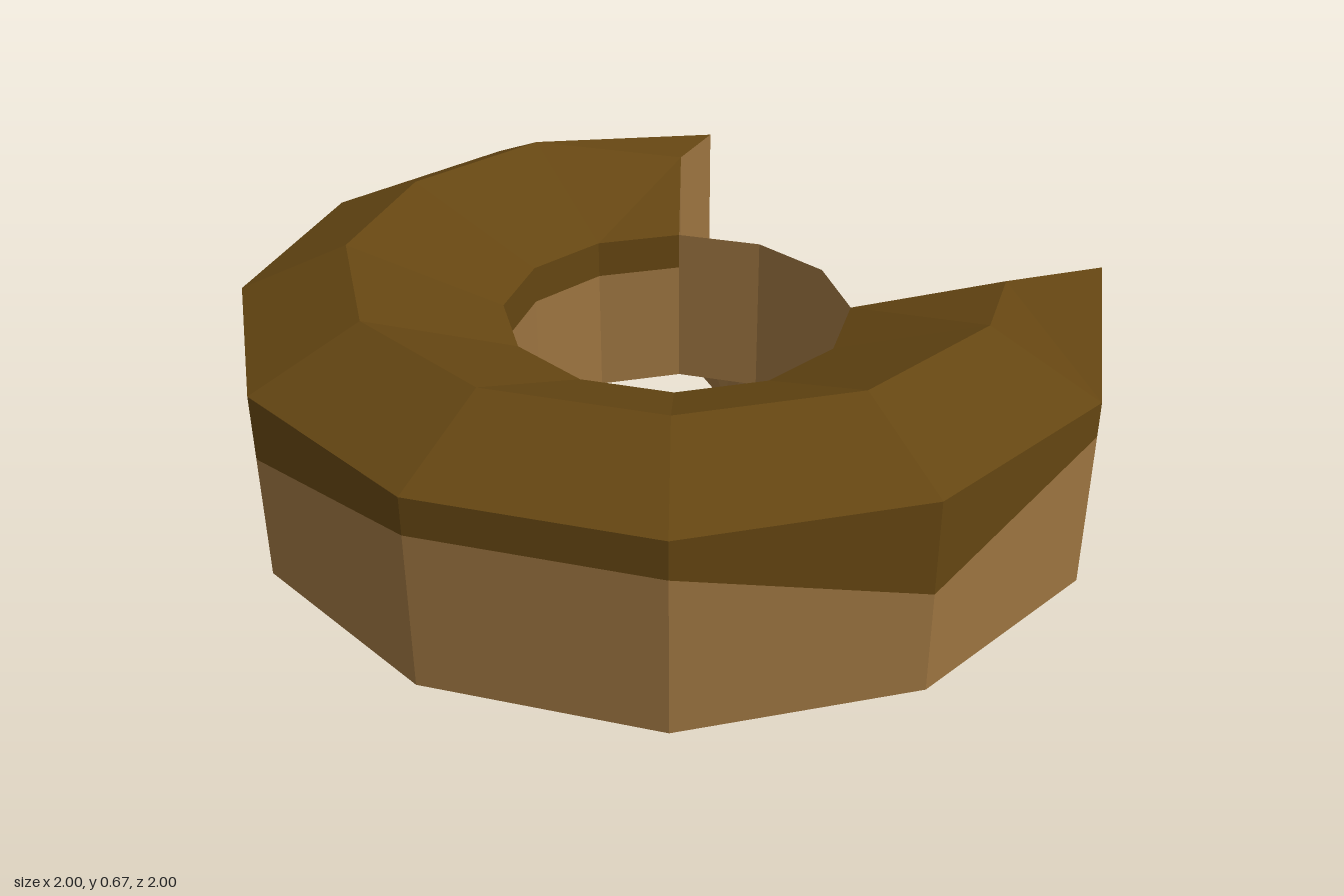
import * as THREE from 'three';

// Collects flat faces, split from quads, into one mesh
class Faces {
  constructor() { this.points = []; }
  tri(a, b, c) { this.points.push(...a, ...b, ...c); }
  quad(a, b, c, d) { this.tri(a, b, d); this.tri(b, c, d); }
  mesh(name, material) {
    const geometry = new THREE.BufferGeometry();
    geometry.setAttribute('position', new THREE.Float32BufferAttribute(this.points, 3));
    geometry.computeVertexNormals();
    const mesh = new THREE.Mesh(geometry, material);
    mesh.name = name;
    return mesh;
  }
}

export function createModel() {
  const dough = new THREE.MeshStandardMaterial({ color: 0x9c7440 });
  dough.name = 'golden dough';
  const chocolate = new THREE.MeshStandardMaterial({ color: 0x654612 });
  chocolate.name = 'chocolate frosting';

  // Lower frosting edge at each of the ten full stations, from one bite end to the other
  const drip = [0.43, 0.48, 0.35, 0.475, 0.475, 0.41, 0.475, 0.475, 0.475, 0.44];
  const LAST = 9;

  // Cross-section at every 30 degrees; the last three steps cross the bite
  const stations = [];
  for (let i = 0; i < 12; i++) {
    const angle = i * Math.PI / 6;
    const at = (r, y) => [r * Math.cos(angle), y, r * Math.sin(angle)];
    const end = i === 0 || i === LAST;
    const s = {
      holeBottom: at(0.4, 0.12), holeBand: at(0.4, 0.43), holeTop: at(0.4, 0.52),
      ringBottom: at(0.75, 0), ringTop: at(0.75, end ? 0.59 : 0.67),
    };
    // Bite tips flare past the ring, and the bitten floor shrinks towards the hole
    const outer = y => i === 0 ? [1, y, -0.14] : i === LAST ? [0.08, y, -1] : at(1, y);
    s.outerBottom = outer(0.12);
    s.drip = outer(drip[i] ?? 0.47);
    s.outerTop = outer(0.56);
    if (i === 10) s.ringBottom = [0.12, 0, -0.47];
    if (i === 11) s.ringBottom = [0.38, 0, -0.2];
    stations.push(s);
  }

  const body = new Faces(), frosting = new Faces(), bite = new Faces();
  for (let i = 0; i < 12; i++) {
    const s = stations[i], n = stations[(i + 1) % 12];
    const strip = (faces, low, high) => faces.quad(s[low], s[high], n[high], n[low]);
    strip(body, 'holeBottom', 'ringBottom');
    if (i < LAST) {
      // Full ring section
      strip(body, 'ringBottom', 'outerBottom');
      strip(body, 'outerBottom', 'drip');
      strip(body, 'holeBand', 'holeBottom');
      strip(frosting, 'drip', 'outerTop');
      strip(frosting, 'outerTop', 'ringTop');
      strip(frosting, 'ringTop', 'holeTop');
      strip(frosting, 'holeTop', 'holeBand');
    } else {
      // Thin wall left between the bite and the hole
      strip(body, 'holeTop', 'holeBottom');
      if (i === 11) bite.quad(s.holeTop, n.holeTop, n.ringBottom, s.ringBottom);
      else strip(bite, 'ringBottom', 'holeTop');
    }
  }

  // Extra drip hanging between two corners at the back
  const a = stations[7].drip, b = stations[8].drip;
  const hang = a.map((v, k) => (v + (b[k] - v) * 0.4) * (k === 1 ? 1 : 1.004));
  hang[1] = 0.38;
  frosting.tri(a, b, hang);

  // Bitten end faces
  for (const i of [0, LAST]) {
    const s = stations[i];
    const rim = [s.outerBottom, s.outerTop, s.ringTop, s.holeTop];
    for (let k = 0; k < 3; k++) {
      if (i === 0) bite.tri(s.ringBottom, rim[k + 1], rim[k]);
      else bite.tri(s.ringBottom, rim[k], rim[k + 1]);
    }
  }

  dough.side = chocolate.side = THREE.DoubleSide;
  const group = new THREE.Group();
  group.name = 'bittenDoughnut';
  group.add(
    body.mesh('doughRing', dough),
    bite.mesh('biteFaces', dough),
    frosting.mesh('frosting', chocolate),
  );
  return group;
}
